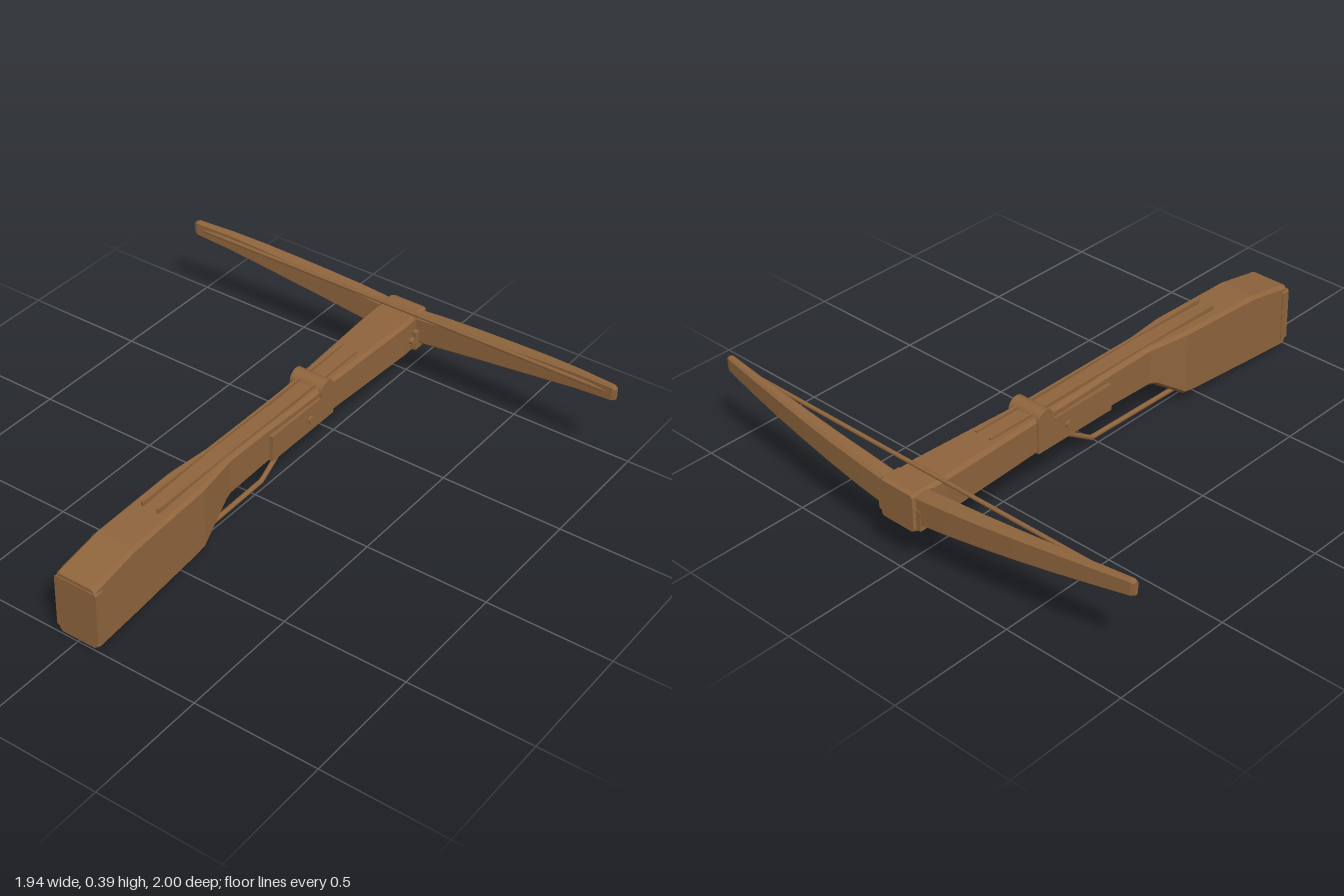
import * as THREE from 'three';

const wood = new THREE.MeshStandardMaterial({ color: 0x8f653d });
wood.name = 'brown wood';

// Chamfered rectangle in the two axes that follow the loft axis
function ring(u0, u1, v0, v1, c) {
  return [[u1, v0 + c], [u1, v1 - c], [u1 - c, v1], [u0 + c, v1],
    [u0, v1 - c], [u0, v0 + c], [u0 + c, v0], [u1 - c, v0]];
}

// Faceted skin through rings placed along an axis in ascending order
function loft(stations, toPoint) {
  const rings = stations.map(([t, ...r]) => ring(...r).map(([u, v]) => toPoint(t, u, v)));
  const pos = [];
  const tri = (...pts) => pts.forEach(p => pos.push(...p));
  const n = 8, last = rings[rings.length - 1];
  for (let i = 0; i < rings.length - 1; i++) {
    for (let j = 0; j < n; j++) {
      const k = (j + 1) % n, a = rings[i], b = rings[i + 1];
      tri(a[j], a[k], b[k]);
      tri(a[j], b[k], b[j]);
    }
  }
  for (let j = 1; j < n - 1; j++) {
    tri(rings[0][0], rings[0][j + 1], rings[0][j]);
    tri(last[0], last[j], last[j + 1]);
  }
  const g = new THREE.BufferGeometry();
  g.setAttribute('position', new THREE.Float32BufferAttribute(pos, 3));
  g.computeVertexNormals();
  return g;
}
const alongZ = (t, u, v) => [u, v, t];
const alongX = (t, u, v) => [t, u, v];

export function createModel() {
  const model = new THREE.Group();
  const add = (name, geometry, x = 0, y = 0, z = 0) => {
    const m = new THREE.Mesh(geometry, wood);
    m.name = name;
    m.position.set(x, y, z);
    model.add(m);
    return m;
  };

  // Stock: z, half width, bottom, top
  const stock = [
    [-0.99, 0.08, 0.18, 0.335], [-0.85, 0.085, 0.18, 0.335], [-0.4, 0.066, 0.18, 0.328],
    [-0.2, 0.06, 0.18, 0.325], [0, 0.057, 0.175, 0.33], [0.22, 0.057, 0.168, 0.333],
    [0.25, 0.061, 0.16, 0.332], [0.4, 0.08, 0.055, 0.327], [0.45, 0.081, 0.047, 0.325],
    [0.79, 0.086, 0.02, 0.312], [0.985, 0.087, 0.005, 0.275], [0.996, 0.083, 0.01, 0.268],
  ].map(([z, w, b, t]) => [z, -w, w, b, t, 0.013]);
  add('stock', loft(stock, alongZ));

  // Butt plate
  add('buttPlate', loft([
    [0.965, -0.091, 0.091, 0.035, 0.255, 0.006], [1, -0.091, 0.091, 0.035, 0.255, 0.006],
  ], alongZ));

  // Twin rails of the bolt groove
  for (const s of [-1, 1]) {
    add('rail', new THREE.BoxGeometry(0.01, 0.03, 1.19), s * 0.034, 0.324, 0.005);
  }

  // Lock plates with the rounded latch on top
  const lock = new THREE.Shape();
  lock.moveTo(0.01, 0.185);
  lock.lineTo(0.39, 0.185);
  lock.lineTo(0.39, 0.31);
  lock.absarc(0.35, 0.31, 0.04, 0, Math.PI, false);
  lock.lineTo(0.31, 0.295);
  lock.lineTo(0.01, 0.295);
  lock.closePath();
  const lockGeo = new THREE.ExtrudeGeometry(lock, { depth: 0.144, bevelEnabled: false, curveSegments: 16 });
  lockGeo.translate(0, 0, -0.072);
  lockGeo.rotateY(Math.PI / 2);
  add('lock', lockGeo);

  // Cross pins
  for (const [z, len] of [[-0.24, 0.165], [-0.89, 0.2]]) {
    add('pin', new THREE.CylinderGeometry(0.014, 0.014, len, 12).rotateZ(Math.PI / 2), 0, 0.24, z);
  }

  // Head block clamping the bow
  add('headBlock', loft([
    [-1, -0.076, 0.076, 0.185, 0.332, 0.008], [-0.985, -0.083, 0.083, 0.18, 0.338, 0.01],
    [-0.915, -0.083, 0.083, 0.18, 0.338, 0.01],
  ], alongZ));
  for (const s of [-1, 1]) {
    add('bowClamp', new THREE.BoxGeometry(0.03, 0.08, 0.09), s * 0.085, 0.235, -0.945);
  }

  // Bow: x, bottom, top, back, front, chamfer
  const limb = [
    [0.06, 0.205, 0.33, -0.988, -0.922, 0.012], [0.2, 0.222, 0.343, -0.984, -0.92, 0.012],
    [0.35, 0.242, 0.355, -0.976, -0.917, 0.012], [0.5, 0.263, 0.367, -0.964, -0.912, 0.011],
    [0.65, 0.285, 0.379, -0.95, -0.906, 0.01], [0.8, 0.308, 0.389, -0.933, -0.898, 0.009],
    [0.955, 0.33, 0.395, -0.911, -0.884, 0.007], [0.968, 0.337, 0.389, -0.906, -0.887, 0.006],
  ];
  const bow = [...limb.map(([x, ...r]) => [-x, ...r]).reverse(), ...limb];
  add('bow', loft(bow, alongX));

  // Bowstring
  add('bowstring', new THREE.CylinderGeometry(0.008, 0.008, 1.92, 8).rotateZ(Math.PI / 2), 0, 0.362, -0.893);

  // Trigger lever under the stock
  const path = new THREE.CurvePath();
  const pts = [[0.03, 0.7], [0.045, -0.04], [0.155, -0.21]].map(([y, z]) => new THREE.Vector3(0, y, z));
  for (let i = 0; i < 2; i++) path.add(new THREE.LineCurve3(pts[i], pts[i + 1]));
  add('triggerLever', new THREE.TubeGeometry(path, 40, 0.01, 8, false));
  for (const p of [pts[1], pts[2]]) {
    add('leverJoint', new THREE.SphereGeometry(0.0102, 8, 6), p.x, p.y, p.z);
  }
  return model;
}
